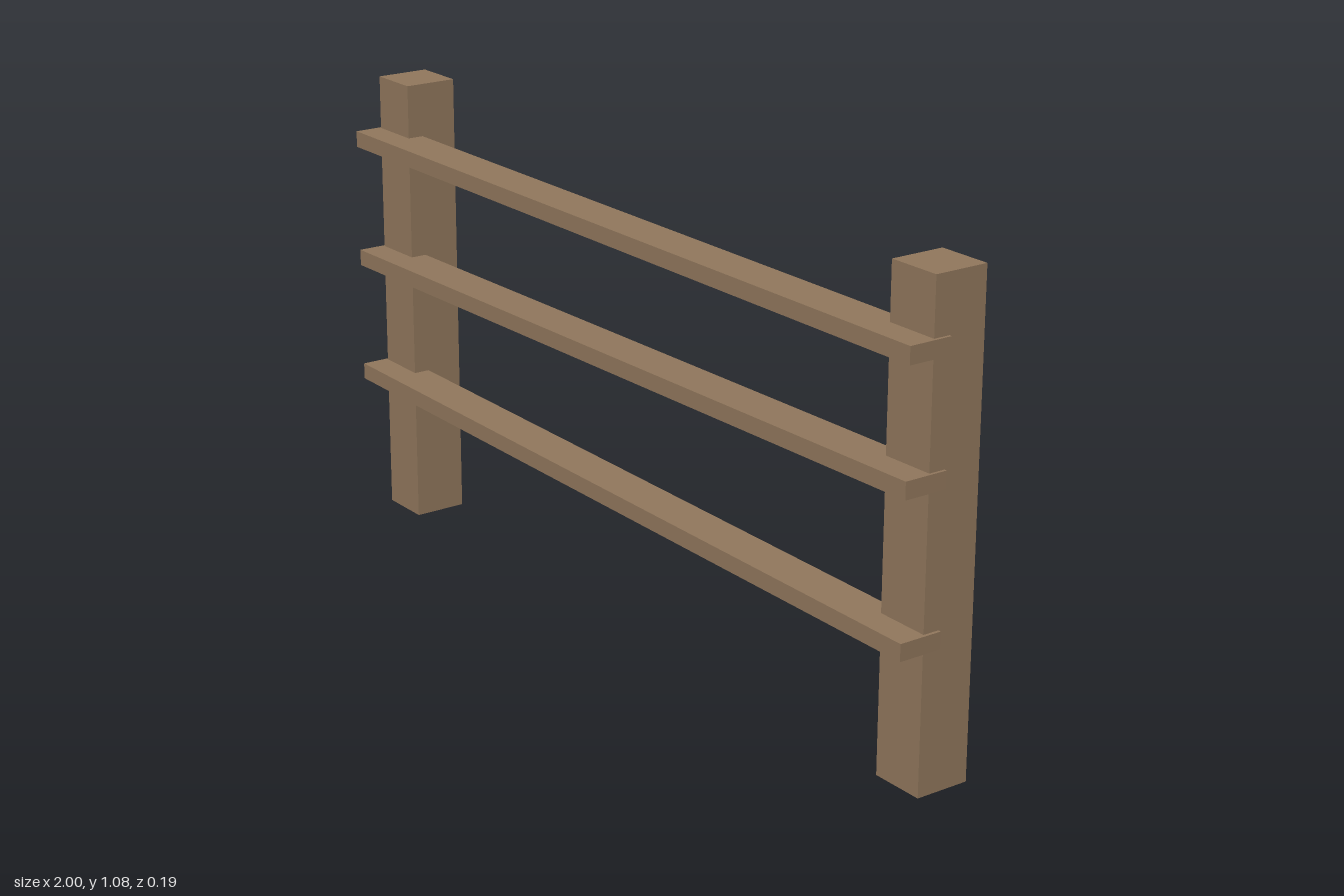
import * as THREE from 'three';

export function createModel() {
  const group = new THREE.Group();
  group.name = 'railFence';
  const wood = new THREE.MeshStandardMaterial({ color: 0x92785d });
  wood.name = 'weathered wood';

  // Upright square posts
  const postHeight = 1.075, postSize = 0.126;
  for (const [name, x] of [['rightPost', -0.931], ['leftPost', 0.93]]) {
    const post = new THREE.Mesh(new THREE.BoxGeometry(postSize, postHeight, postSize), wood);
    post.name = name;
    post.position.set(x, postHeight / 2, -0.032);
    group.add(post);
  }

  // Rails set into the front of the posts: centre height, rise from -x to +x
  const rails = [
    ['topRail', 0.931, 0],
    ['middleRail', 0.651, 0.025],
    ['bottomRail', 0.341, -0.019],
  ];
  for (const [name, y, rise] of rails) {
    const rail = new THREE.Mesh(new THREE.BoxGeometry(2, 0.038, 0.102), wood);
    rail.name = name;
    rail.position.set(0, y, 0.044);
    rail.rotation.z = Math.atan2(rise, 2);
    group.add(rail);
  }
  return group;
}
